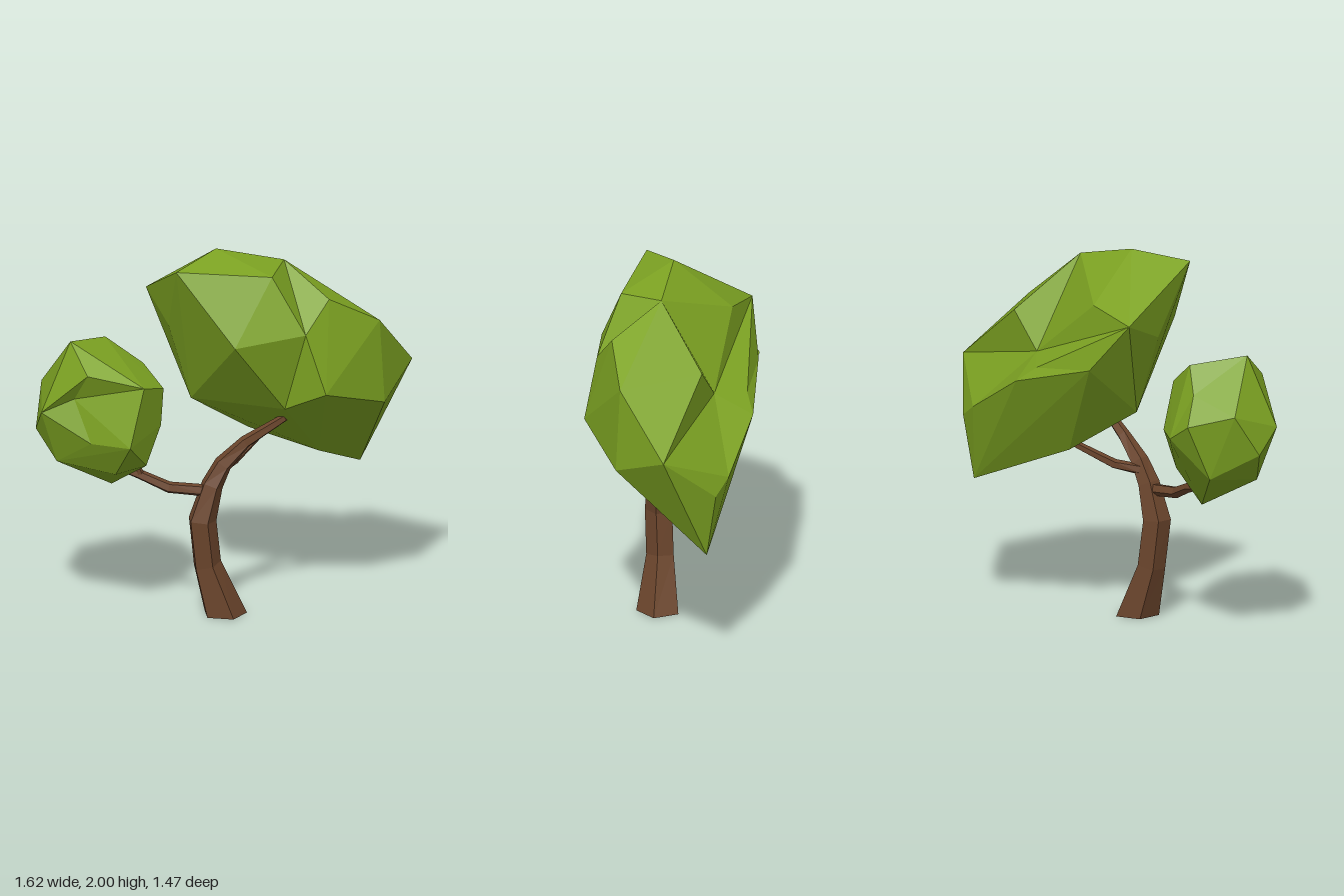
import * as THREE from 'three';
import { ConvexGeometry } from 'three/addons/geometries/ConvexGeometry.js';

const V = (a) => new THREE.Vector3(...a);

// Faceted leaf mass: a hull around the corners, with faces between the rim
// corners of each dent pulled to a point
function leafMass(corners, dents) {
  const pts = corners.map(V);
  const pos = new ConvexGeometry(pts).attributes.position;
  const nearest = (q) => {
    const d = pts.map((p) => p.distanceToSquared(q));
    return d.indexOf(Math.min(...d));
  };
  let faces = [];
  for (let i = 0; i < pos.count; i += 3) {
    faces.push([0, 1, 2].map((k) => nearest(new THREE.Vector3().fromBufferAttribute(pos, i + k))));
  }
  dents.forEach(({ at, rim }) => {
    const tip = pts.push(V(at)) - 1;
    const inside = faces.filter((f) => f.every((v) => rim.includes(v)));
    const edges = inside.flatMap(([a, b, c]) => [[a, b], [b, c], [c, a]]);
    const border = edges.filter(([a, b]) => !edges.some(([c, d]) => c === b && d === a));
    faces = faces.filter((f) => !inside.includes(f));
    border.forEach(([a, b]) => faces.push([a, b, tip]));
  });
  const geo = new THREE.BufferGeometry().setFromPoints(faces.flat().map((v) => pts[v]));
  geo.computeVertexNormals();
  return geo;
}

// Tapered faceted limb through rings of [x, y, z, radius]
function limb(rings, flatBase = false) {
  const n = 5;
  const centres = rings.map((r) => V(r));
  const verts = [];
  const index = [];
  rings.forEach((ring, i) => {
    const t = centres[Math.min(i + 1, rings.length - 1)].clone()
      .sub(centres[Math.max(i - 1, 0)]).normalize();
    if (i === 0 && flatBase) t.set(0, 1, 0);
    const u = new THREE.Vector3(0, 0, 1).addScaledVector(t, -t.z).normalize();
    const w = t.clone().cross(u);
    for (let k = 0; k < n; k++) {
      const a = (k / n) * Math.PI * 2 - 0.35;
      const p = centres[i].clone()
        .addScaledVector(u, Math.cos(a) * ring[3])
        .addScaledVector(w, Math.sin(a) * ring[3]);
      verts.push(p.x, p.y, p.z);
    }
  });
  const last = (rings.length - 1) * n;
  for (let i = 0; i < last; i += n) {
    for (let k = 0; k < n; k++) {
      const a = i + k;
      const b = i + ((k + 1) % n);
      index.push(a, b, b + n, a, b + n, a + n);
    }
  }
  for (let k = 1; k < n - 1; k++) {
    index.push(0, k + 1, k, last, last + k, last + k + 1);
  }
  const geo = new THREE.BufferGeometry();
  geo.setAttribute('position', new THREE.Float32BufferAttribute(verts, 3));
  geo.setIndex(index);
  const flat = geo.toNonIndexed();
  flat.computeVertexNormals();
  return flat;
}

export function createModel() {
  const tree = new THREE.Group();
  tree.name = 'tree';
  const leaf = new THREE.MeshStandardMaterial({ color: 0x7ca222 });
  leaf.name = 'leaf green';
  const bark = new THREE.MeshStandardMaterial({ color: 0x6b452c });
  bark.name = 'bark brown';

  const add = (name, geo, mat) => {
    const mesh = new THREE.Mesh(geo, mat);
    mesh.name = name;
    tree.add(mesh);
  };

  // Trunk, leaning and running on into the main branch
  add('trunk', limb([
    [0.09, 0, 0.12, 0.12], [0.018, 0.28, 0.183, 0.078], [0.003, 0.53, 0.21, 0.078],
    [0.045, 0.72, 0.175, 0.06], [0.09, 0.83, 0.135, 0.05],
    [0.19, 0.95, 0.07, 0.035], [0.38, 1.09, -0.02, 0.022],
  ], true), bark);

  // Side branches
  add('rearBranch', limb([
    [0.06, 0.79, 0.14, 0.03], [0.09, 0.82, 0.0, 0.027], [0.15, 0.93, -0.21, 0.02],
  ]), bark);
  add('frontBranch', limb([
    [0.03, 0.69, 0.19, 0.034], [-0.15, 0.71, 0.29, 0.032],
    [-0.3, 0.77, 0.33, 0.027], [-0.49, 0.81, 0.35, 0.01],
  ]), bark);
  add('twig', limb([[-0.29, 0.76, 0.33, 0.02], [-0.33, 0.88, 0.36, 0.013]]), bark);

  // Large crown, with a long fold behind and a shallow one on the left
  add('largeCrown', leafMass([
    // top: 0 to 7
    [-0.06, 1.94, 0.38], [0.02, 2.0, 0.08], [0.31, 1.92, -0.14], [0.37, 1.9, 0.11],
    [-0.45, 1.69, -0.02], [-0.18, 1.75, -0.16], [0.34, 1.62, -0.49], [0.61, 1.76, -0.08],
    // sides: 8 to 16
    [0.78, 1.6, -0.33], [0.81, 1.15, -0.33], [0.79, 1.29, -0.68],
    [0.28, 1.56, 0.36], [-0.21, 1.57, 0.18], [0.17, 1.41, 0.25], [0.67, 1.28, 0.07],
    [0.02, 1.31, -0.54], [-0.32, 1.43, -0.21],
    // underside: 17 to 23
    [0.43, 1.17, 0.08], [0.48, 0.68, -0.68], [0.47, 1.03, -0.74], [0.35, 1.1, -0.71],
    [0.43, 0.83, -0.31], [0.04, 0.92, -0.25], [-0.13, 1.15, 0.08],
  ], [
    { at: [0.56, 1.6, 0.09], rim: [2, 3, 7, 11, 14, 17] },
    { at: [0.17, 1.43, -0.4], rim: [2, 4, 5, 6, 10, 15, 20] },
    { at: [-0.03, 1.39, -0.44], rim: [4, 15, 16, 25] },
  ]), leaf);

  // Small crown
  add('smallCrown', leafMass([
    // top: 0 to 5
    [-0.58, 1.54, 0.59], [-0.53, 1.49, 0.29], [-0.42, 1.4, 0.7],
    [-0.13, 1.35, 0.61], [-0.13, 1.29, 0.39], [-0.33, 1.36, 0.24],
    // sides: 6 to 14
    [-0.81, 1.26, 0.48], [-0.74, 1.2, 0.24], [-0.6, 1.11, 0.17], [-0.42, 1.12, 0.17],
    [-0.14, 1.09, 0.4], [-0.16, 1.04, 0.71], [-0.4, 1.03, 0.7], [-0.68, 1.17, 0.73],
    [-0.77, 1.04, 0.62],
    // underside: 15 to 20
    [-0.73, 0.91, 0.36], [-0.17, 0.89, 0.51], [-0.3, 0.85, 0.61], [-0.45, 0.71, 0.37],
    [-0.3, 0.88, 0.26], [-0.64, 0.88, 0.63],
  ], [
    { at: [-0.64, 1.35, 0.29], rim: [0, 1, 6, 7, 8] },
    { at: [-0.52, 1.25, 0.66], rim: [2, 3, 11, 12, 13] },
  ]), leaf);

  return tree;
}
